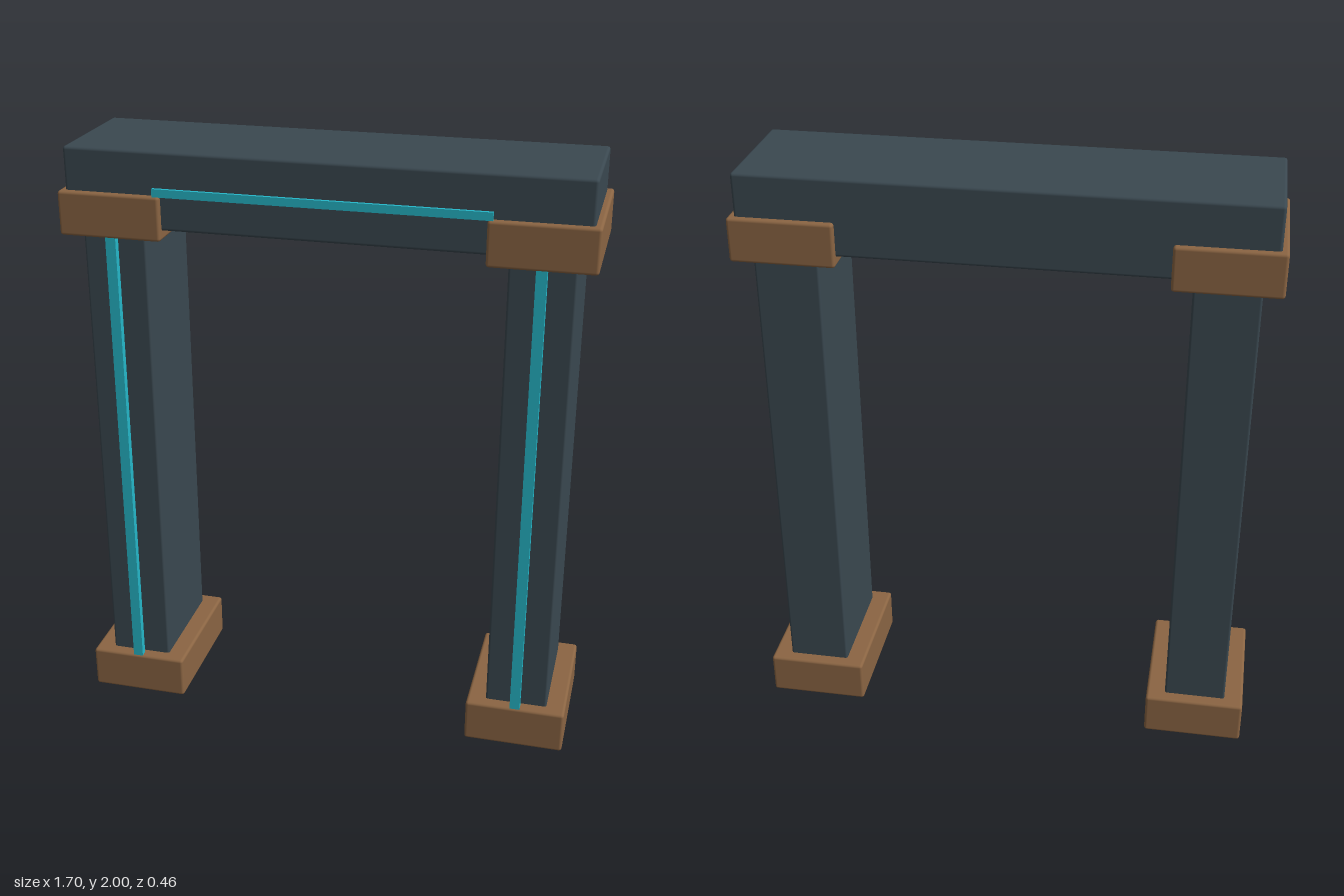
import * as THREE from 'three';
import { RoundedBoxGeometry } from 'three/addons/geometries/RoundedBoxGeometry.js';

export function createModel() {
  const gate = new THREE.Group();
  gate.name = 'gateway';

  const material = (name, color) => {
    const m = new THREE.MeshStandardMaterial({ color });
    m.name = name;
    return m;
  };
  const slate = material('slate', 0x3a4850);
  const bronze = material('bronze', 0x8b6543);
  const cyan = material('cyan glow', 0x25b8ca);

  // Softly bevelled block given by its extents
  const block = (name, mat, [x0, x1], [y0, y1], [z0, z1], bevel) => {
    const size = [x1 - x0, y1 - y0, z1 - z0];
    const geometry = bevel
      ? new RoundedBoxGeometry(...size, 2, bevel)
      : new THREE.BoxGeometry(...size);
    const mesh = new THREE.Mesh(geometry, mat);
    mesh.name = name;
    mesh.position.set((x0 + x1) / 2, (y0 + y1) / 2, (z0 + z1) / 2);
    return mesh;
  };

  // Two identical posts, each with a foot, a bracket and a light strip
  for (const [side, x] of [['left', 0.68], ['right', -0.68]]) {
    const post = new THREE.Group();
    post.name = side + 'Post';
    post.position.x = x;
    post.add(
      block('pillar', slate, [-0.104, 0.104], [0, 1.8], [-0.192, 0.187], 0.008),
      block('foot', bronze, [-0.168, 0.168], [0.015, 0.162], [-0.232, 0.227], 0.01),
      block('bracket', bronze, [-0.168, 0.168], [1.718, 1.862], [-0.232, 0.227], 0.01),
      block('postLight', cyan, [-0.017, 0.017], [0.1, 1.78], [0.2, 0.223]),
    );
    gate.add(post);
  }

  // Lintel across the top with its own light strip
  gate.add(
    block('lintel', slate, [-0.827, 0.827], [1.75, 2], [-0.213, 0.207], 0.01),
    block('lintelLight', cyan, [-0.53, 0.53], [1.864, 1.89], [0.221, 0.232]),
  );
  return gate;
}
